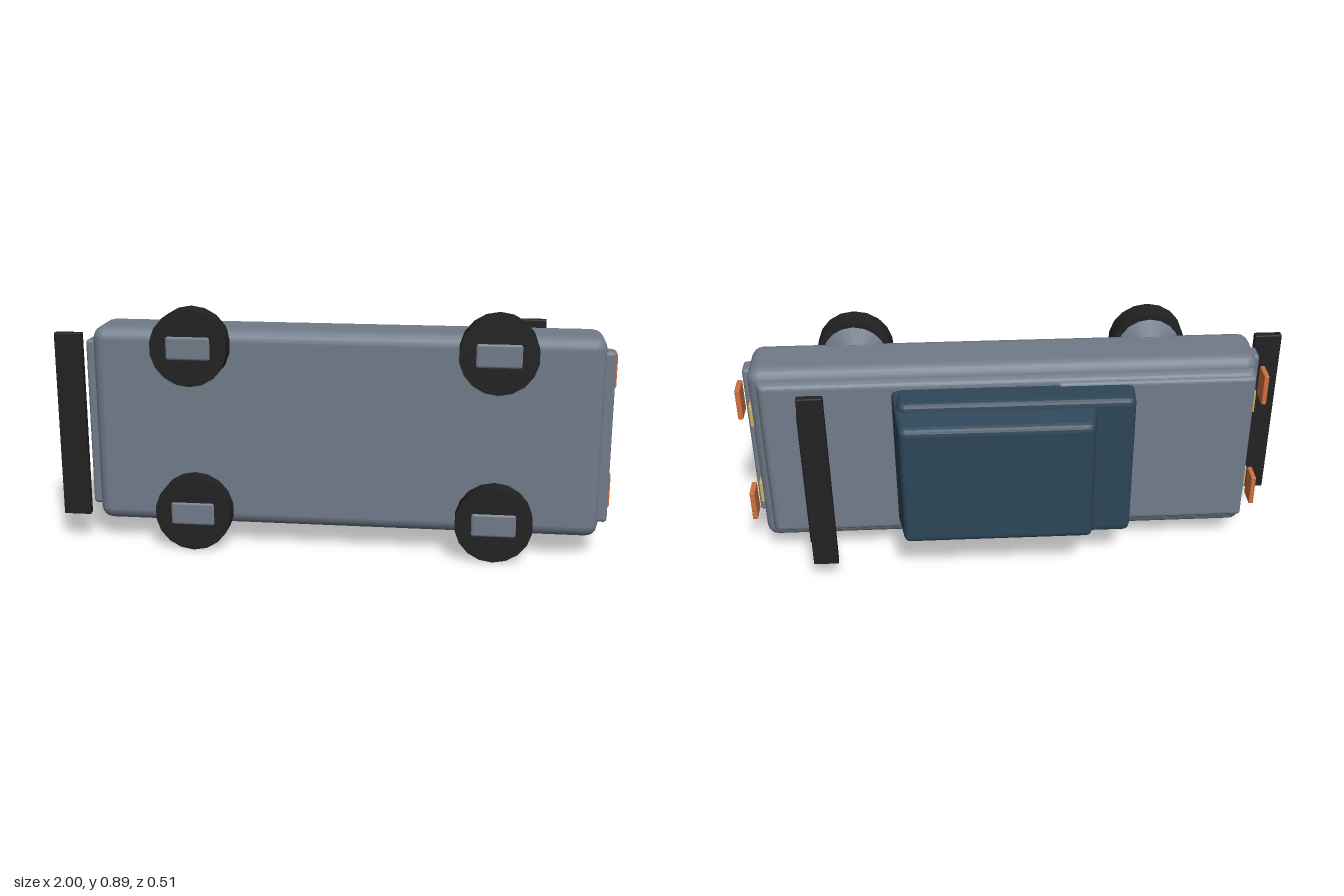
import * as THREE from 'three';
import { RoundedBoxGeometry } from 'three/addons/geometries/RoundedBoxGeometry.js';

const mat = (name, color) => Object.assign(new THREE.MeshStandardMaterial({ color }), { name });

export function createModel() {
  const paint = mat('greyPaint', 0x717c8a);
  const glass = mat('darkBlueGlass', 0x2d4658);
  const black = mat('blackRubber', 0x222222);
  const orange = mat('orangeLamp', 0xcf7040);
  const yellow = mat('yellowLamp', 0xd0b068);
  const car = new THREE.Group();

  const add = (name, geometry, material) => {
    const mesh = new THREE.Mesh(geometry, material);
    mesh.name = name;
    car.add(mesh);
    return mesh;
  };

  // Bevelled box given by its limits on each axis
  const box = (name, material, [x0, x1], [y0, y1], [z0, z1], r = 0.004) => {
    const g = new RoundedBoxGeometry(x1 - x0, y1 - y0, z1 - z0, 2, r);
    g.translate((x0 + x1) / 2, (y0 + y1) / 2, (z0 + z1) / 2);
    return add(name, g, material);
  };

  // Bevelled box whose rectangle changes from base (at z1) to roof (at z0)
  const taperedBox = (name, material, base, roof, z0, z1, r) => {
    const g = new RoundedBoxGeometry(1, 1, z1 - z0, 2, r);
    const p = g.attributes.position;
    const h = z1 - z0;
    for (let i = 0; i < p.count; i++) {
      const t = 0.5 - p.getZ(i) / h;
      const at = (k) => THREE.MathUtils.lerp(base[k], roof[k], t);
      // keep the bevel width while stretching the unit rectangle
      const stretch = (v, lo, hi) => (lo + hi) / 2 + v + Math.sign(v) * ((hi - lo) - 1) / 2;
      p.setXYZ(i, stretch(p.getX(i), at(0), at(1)), stretch(p.getY(i), at(2), at(3)), p.getZ(i) + (z0 + z1) / 2);
    }
    g.computeVertexNormals();
    return add(name, g, material);
  };

  // Body shell and raised decks
  box('body', paint, [-0.87, 0.95], [0.085, 0.81], [-0.035, 0.188], 0.045);
  taperedBox('deck', paint, [-0.865, 0.945, 0.105, 0.79], [-0.85, 0.905, 0.135, 0.76], -0.061, 0.03, 0.015);
  taperedBox('hood', paint, [-0.862, -0.14, 0.12, 0.775], [-0.855, -0.15, 0.15, 0.745], -0.07, 0.0, 0.01);

  // Cabin
  taperedBox('lowerCabin', glass, [-0.422, 0.43, 0.155, 0.74], [-0.415, 0.42, 0.16, 0.735], -0.167, -0.04, 0.025);
  taperedBox('upperCabin', glass, [-0.295, 0.447, 0.155, 0.74], [-0.262, 0.415, 0.21, 0.685], -0.257, -0.04, 0.022);

  // Bumpers and lamps on both ends
  box('rearBumper', paint, [0.93, 0.982], [0.137, 0.757], [0.078, 0.153], 0.012);
  box('frontBumper', paint, [-0.9, -0.85], [0.137, 0.757], [0.078, 0.153], 0.012);
  for (const [y0, y1] of [[0.165, 0.285], [0.61, 0.73]]) {
    box('rearOuterLamp', orange, [0.978, 0.997], [y0, y1], [-0.02, 0.058]);
    box('frontOuterLamp', orange, [-0.915, -0.897], [y0, y1], [-0.025, 0.053]);
  }
  for (const [y0, y1] of [[0.237, 0.325], [0.57, 0.658]]) {
    box('rearInnerLamp', yellow, [0.935, 0.958], [y0, y1], [-0.01, 0.067]);
    box('frontInnerLamp', yellow, [-0.878, -0.855], [y0, y1], [-0.01, 0.067]);
  }

  // Front splitter and two-piece wing
  box('splitter', black, [-1, -0.9], [0.107, 0.79], [0.17, 0.199]);
  box('wingBlade', black, [0.667, 0.758], [0.092, 0.802], [-0.215, -0.189]);
  box('wingBase', black, [0.674, 0.766], [0.172, 0.722], [-0.184, -0.14]);

  // Wheels with their round axis along z
  const tyre = new THREE.CylinderGeometry(0.138, 0.138, 0.085, 18).rotateX(Math.PI / 2);
  const innerHub = new THREE.CylinderGeometry(0.12, 0.06, 0.03, 18).rotateX(Math.PI / 2);
  black.flatShading = false;
  for (const x of [-0.5, 0.58]) {
    for (const y of [0.145, 0.755]) {
      add('tyre', tyre, black).position.set(x, y, 0.2105);
      add('innerHub', innerHub, paint).position.set(x, y, 0.155);
      box('hubCap', paint, [x - 0.08, x + 0.08], [y - 0.043, y + 0.043], [0.23, 0.258], 0.01);
    }
  }
  return car;
}
